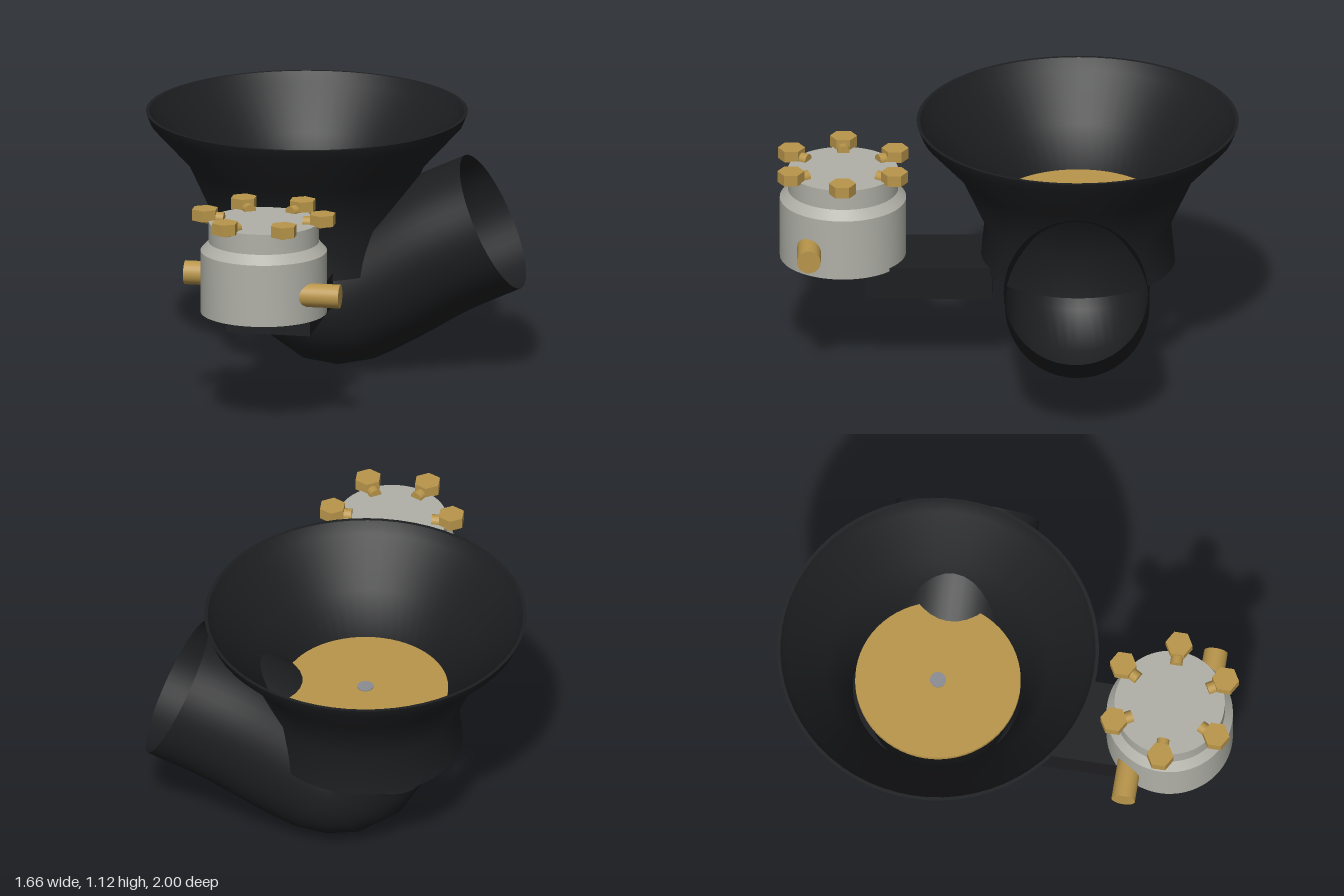
import * as THREE from 'three';
import { toCreasedNormals } from 'three/addons/utils/BufferGeometryUtils.js';

const material = (color) => new THREE.MeshStandardMaterial({ color, side: THREE.DoubleSide });
const black = material(0x1d1e20);
const brass = material(0xb8954a);
const metal = material(0xb0b0a8);
const steel = material(0x8a8d92);

function add(parent, name, geometry, mat, x = 0, y = 0, z = 0) {
  const mesh = new THREE.Mesh(geometry, mat);
  mesh.name = name;
  mesh.position.set(x, y, z);
  parent.add(mesh);
  return mesh;
}

const lathe = (points) => toCreasedNormals(
  new THREE.LatheGeometry(points.map(([r, y]) => new THREE.Vector2(r, y)), 64), 0.7);

export function createModel() {
  const model = new THREE.Group();
  const cx = -0.13; // shared centre line of funnel and chamber

  // Flared funnel with a thin wall, open at both ends
  add(model, 'funnel', lathe([
    [0.385, 0.46], [0.423, 0.46], [0.405, 0.65], [0.515, 0.89], [0.68, 1.07], [0.70, 1.12],
    [0.685, 1.12], [0.655, 1.07], [0.485, 0.89], [0.37, 0.65], [0.385, 0.46],
  ]), black, cx, 0, -0.3);

  // Throttle disc and its spindle
  add(model, 'throttleDisc', new THREE.CylinderGeometry(0.36, 0.36, 0.02, 64), brass, cx, 0.72, -0.3);
  add(model, 'spindle', new THREE.CylinderGeometry(0.035, 0.035, 0.03, 24), steel, cx, 0.72, -0.3);

  // Open elbow pipe, bending from below the funnel out to the side
  const spine = new THREE.CatmullRomCurve3([
    [-0.115, 0.43], [-0.067, 0.336], [0.02, 0.312], [0.17, 0.38], [0.45, 0.545], [0.6925, 0.66],
  ].map(([x, y]) => new THREE.Vector3(x, y, -0.3)));
  add(model, 'elbowPipe', new THREE.TubeGeometry(spine, 20, 0.314, 48), black);

  // Bracket joining funnel and chamber
  add(model, 'bracket', new THREE.BoxGeometry(0.37, 0.145, 0.55), black, cx, 0.4225, 0.345);

  // Float chamber with a stepped shoulder
  const chamber = new THREE.Group();
  chamber.name = 'floatChamber';
  chamber.position.set(cx, 0, 0.72);
  model.add(chamber);
  add(chamber, 'chamberBody', lathe([
    [0, 0.48], [0.275, 0.48], [0.275, 0.755], [0.24, 0.795], [0.24, 0.885], [0, 0.885],
  ]), metal);

  // Six hexagonal bolts, each with a stub pointing inwards
  for (let i = 0; i < 6; i++) {
    const a = i * Math.PI / 3;
    const c = Math.cos(a), s = Math.sin(a);
    add(chamber, 'boltHead', toCreasedNormals(new THREE.CylinderGeometry(0.059, 0.059, 0.05, 6), 0.5),
      brass, c * 0.26, 0.905, s * 0.26);
    const stub = add(chamber, 'boltStub', new THREE.CylinderGeometry(0.027, 0.027, 0.08, 20),
      brass, c * 0.215, 0.888, s * 0.215);
    stub.rotation.set(0, -a, Math.PI / 2);
  }

  // Side nozzles on opposite sides of the chamber
  for (const [name, x, z] of [['rightNozzle', -0.365, 0.575], ['leftNozzle', 0.095, 0.865]]) {
    add(model, name, new THREE.CylinderGeometry(0.052, 0.052, 0.28, 28), brass, x, 0.6, z)
      .rotation.z = Math.PI / 2;
  }
  return model;
}
